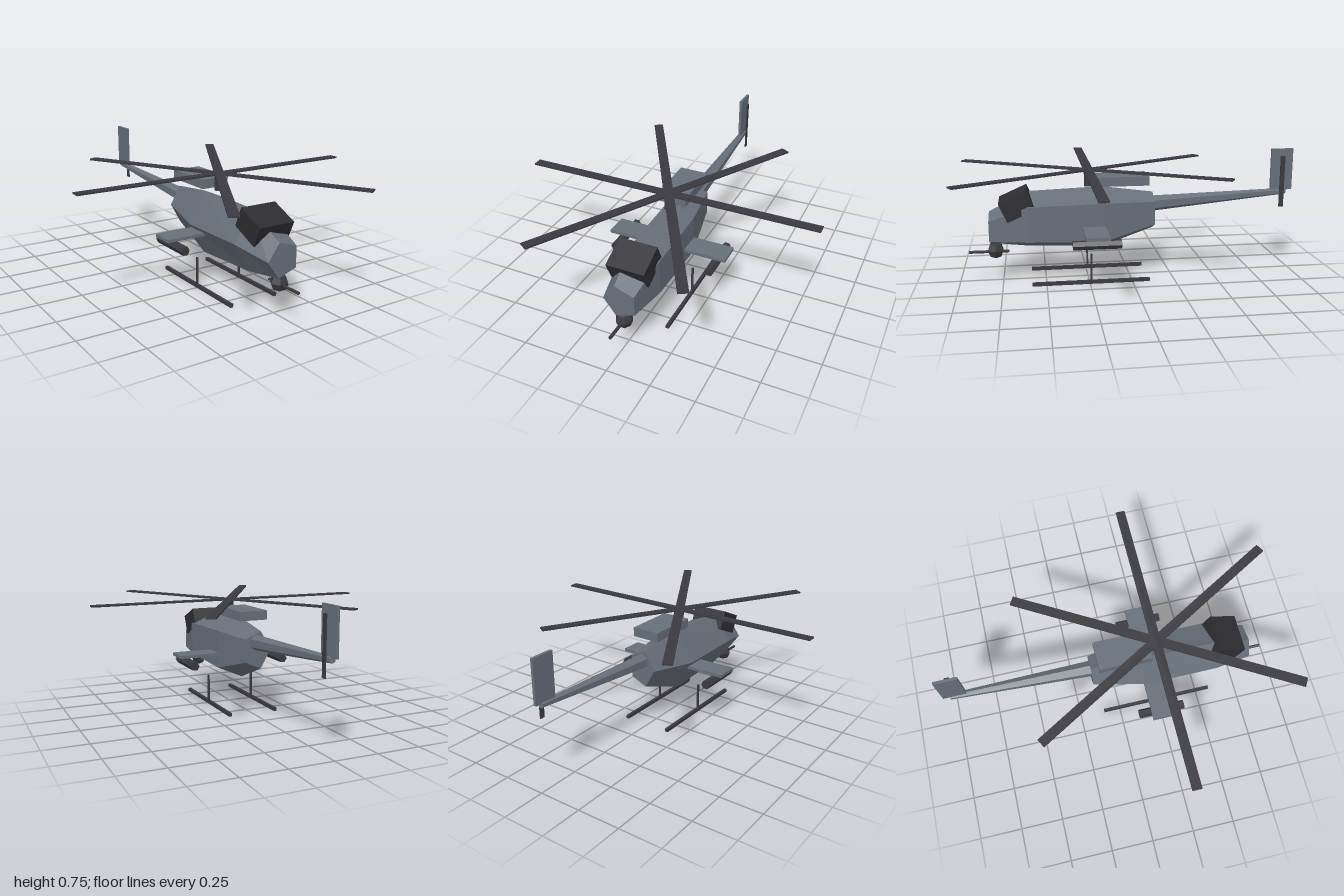
import * as THREE from 'three';

export function createModel() {
  const model = new THREE.Group();
  model.name = 'helicopter';

  const flat = (name, color) => {
    const m = new THREE.MeshStandardMaterial({ color, flatShading: true });
    m.name = name;
    return m;
  };
  const hull = flat('hull grey', 0x676f79);
  const dark = flat('dark metal', 0x3a393f);
  const glass = flat('canopy black', 0x2d2c31);

  const add = (name, geometry, material, x, y, z, parent = model) => {
    const mesh = new THREE.Mesh(geometry, material);
    mesh.name = name;
    mesh.position.set(x, y, z);
    parent.add(mesh);
    return mesh;
  };
  const box = (name, material, size, pos, parent) =>
    add(name, new THREE.BoxGeometry(...size), material, ...pos, parent);
  // Cylinder lying along z, its first radius at the front
  const rod = (rFront, rBack, length, sides) =>
    new THREE.CylinderGeometry(rFront, rBack, length, sides).rotateX(Math.PI / 2);

  // Five-sided fuselage: rings of [z, centre y, half width, half height], nose to tail
  const rings = [
    [0.82, 0.315, 0.1, 0.1],
    [0.595, 0.355, 0.143, 0.175],
    [0.16, 0.353, 0.143, 0.194],
    [-0.145, 0.39, 0.087, 0.115],
  ];
  const body = new THREE.CylinderGeometry(1, 1, 1, 5, 3, false, -Math.PI / 2).rotateX(Math.PI / 2);
  const p = body.attributes.position;
  for (let i = 0; i < p.count; i++) {
    const [z, cy, rx, ry] = rings[Math.round((0.5 - p.getZ(i)) * 3)];
    p.setXYZ(i, p.getX(i) * rx, cy + p.getY(i) * ry, z);
  }
  body.computeVertexNormals();
  add('fuselage', body, hull, 0, 0, 0);

  // Canopy and engine housing
  box('canopy', glass, [0.22, 0.12, 0.175], [0, 0.461, 0.656]).rotation.x = 0.42;
  box('engineHousing', hull, [0.17, 0.054, 0.31], [0, 0.586, 0.048]);

  // Tail boom, fin and tail rotor
  const boom = add('tailBoom', rod(0.048, 0.018, 0.86, 6), hull, 0, 0.459, -0.532);
  boom.rotation.x = 0.062;
  box('tailFin', hull, [0.016, 0.25, 0.134], [0, 0.62, -0.933]);
  box('tailRotor', dark, [0.006, 0.31, 0.028], [0.028, 0.549, -0.93]);

  // Main rotor: three full-length bars make six blades
  add('rotorMast', new THREE.CylinderGeometry(0.026, 0.026, 0.095, 8), dark, 0, 0.598, 0.24);
  const rotor = new THREE.Group();
  rotor.name = 'mainRotor';
  rotor.position.set(0, 0.647, 0.24);
  model.add(rotor);
  for (let i = 0; i < 3; i++) {
    box('rotorBlade', dark, [1.72, 0.009, 0.054], [0, 0, 0], rotor).rotation.y = i * Math.PI / 3;
  }

  // Stub wings
  box('stubWings', hull, [0.72, 0.018, 0.134], [0, 0.323, 0.219]);

  // Mirrored weapon pods and landing skids
  for (const side of [1, -1]) {
    const name = side > 0 ? 'left' : 'right';
    const pod = add(name + 'Pod', rod(0.027, 0.027, 0.272, 6), dark, side * 0.293, 0.276, 0.219);
    pod.rotation.z = Math.PI / 6;
    box(name + 'SkidRail', dark, [0.018, 0.02, 0.684], [side * 0.146, 0.01, 0.241]);
    box(name + 'SkidStrut', dark, [0.011, 0.17, 0.011], [side * 0.146, 0.094, 0.241]);
  }

  // Chin turret and gun
  add('turret', new THREE.SphereGeometry(0.051, 6, 4), dark, 0, 0.184, 0.789);
  add('gunBarrel', rod(0.009, 0.009, 0.232, 6), dark, 0, 0.175, 0.826);

  return model;
}
